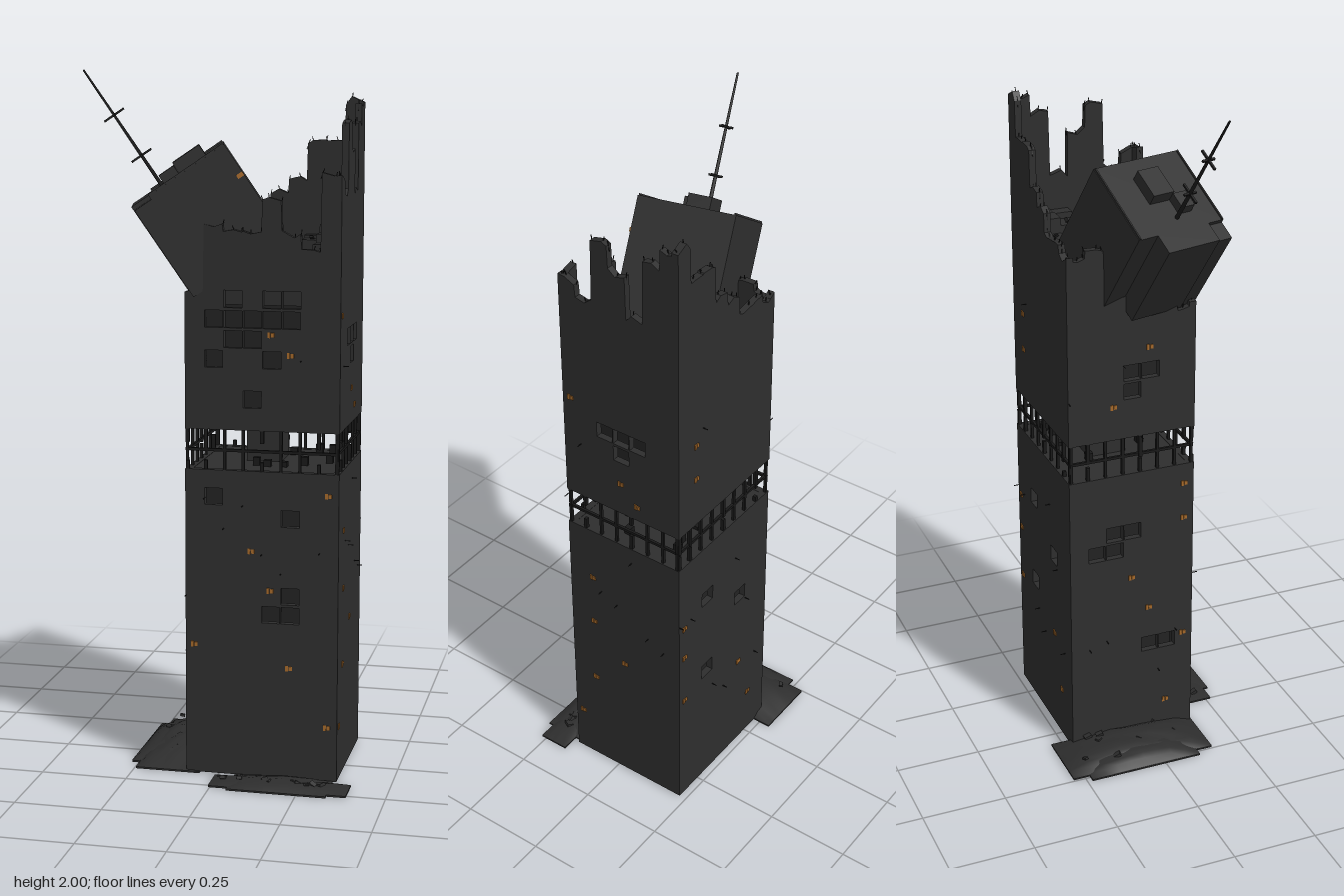
import * as THREE from 'three';

const mat = (name, color, double) => {
  const m = new THREE.MeshStandardMaterial({ color });
  m.name = name;
  if (double) m.side = THREE.DoubleSide;
  return m;
};

export function createModel() {
  const concrete = mat('dark concrete', 0x2e2e2e);
  const interior = mat('shadowed interior', 0x222222);
  const metal = mat('blackened steel', 0x191919);
  const rubbleMat = mat('rubble grey', 0x2d2d2d, true);
  const ember = mat('ember orange', 0xa5692a);

  const model = new THREE.Group();
  model.name = 'ruinedTower';
  let seed = 7;
  const rnd = (a = 0, b = 1) => {
    seed = (seed * 16807) % 2147483647;
    return a + (b - a) * seed / 2147483647;
  };
  // Box given by its low and high corners
  const box = (parent, name, m, x0, x1, y0, y1, z0, z1) => {
    const mesh = new THREE.Mesh(new THREE.BoxGeometry(x1 - x0, y1 - y0, z1 - z0), m);
    mesh.position.set((x0 + x1) / 2, (y0 + y1) / 2, (z0 + z1) / 2);
    mesh.name = name;
    parent.add(mesh);
    return mesh;
  };

  const X0 = -0.095, X1 = 0.345, Z0 = -0.23, Z1 = 0.155;
  const CX = (X0 + X1) / 2, CZ = (Z0 + Z1) / 2;
  const CELL = 0.055, ROW = 0.0559, LOW = 0.895, HIGH = 1.01;

  // One wall panel with punched windows; top holds the outline points
  const wall = (name, w, y0, top, windows) => {
    const h = w / 2, s = new THREE.Shape();
    s.moveTo(-h, y0);
    s.lineTo(h, y0);
    [...top].reverse().forEach(([u, y]) => s.lineTo(u - h, y));
    s.closePath();
    for (const [col, row, count] of windows) for (let c = col; c < col + count; c++) {
      const u = c * CELL - h + 0.0015, v = row * ROW + 0.012, hole = new THREE.Path();
      hole.moveTo(u, v);
      hole.lineTo(u, v + 0.048);
      hole.lineTo(u + 0.052, v + 0.048);
      hole.lineTo(u + 0.052, v);
      s.holes.push(hole);
    }
    const mesh = new THREE.Mesh(new THREE.ExtrudeGeometry(s, { depth: 0.02, bevelEnabled: false }), concrete);
    mesh.position.z = -0.02;
    mesh.name = name;
    return mesh;
  };

  // One side of the tower: heights is the broken top per cell, windows are runs [column, row, count]
  const addSide = (name, w, x, z, turn, heights, windows) => {
    const g = new THREE.Group();
    g.name = name;
    g.position.set(x, 0, z);
    g.rotation.y = turn * Math.PI / 2;
    const n = heights.length, d = w / n;
    const top = heights.flatMap((y, i) => [
      [i * d, y + rnd(-0.015, 0.01)],
      [(i + rnd(0.3, 0.7)) * d, y + rnd(-0.015, 0.02)],
      [(i + 0.95) * d + (i === n - 1 ? 0.05 * d : 0), y + rnd(-0.01, 0.01)],
    ]);
    g.add(wall('lowerWall', w, 0.004, [[0, LOW], [w, LOW]], windows.filter(r => r[1] < 16)));
    g.add(wall('upperWall', w, HIGH, top, windows.filter(r => r[1] > 17)));
    // Bare frame of the burnt-out storeys, with broken studs
    for (let i = 0; i <= n; i++) {
      const u = (i / n - 0.5) * (w - 0.01);
      if (i % 3 !== 1) box(g, 'framePost', metal, u - 0.004, u + 0.004, LOW, HIGH, -0.012, -0.004);
      else {
        box(g, 'hangingStud', metal, u - 0.005, u + 0.005, HIGH - rnd(0.03, 0.07), HIGH, -0.012, -0.002);
        box(g, 'brokenStud', metal, u - 0.005, u + 0.005, LOW, LOW + rnd(0.015, 0.05), -0.012, -0.002);
      }
    }
    box(g, 'frameRail', metal, -w / 2, w / 2, 0.947, 0.955, -0.012, -0.004);
    // Burning spots near the cell corners
    for (let i = 0; i < 9; i++) {
      const c = (Math.floor(rnd(0, n)) + 0.45) * d - w / 2;
      const y = (Math.floor(i * 2.6 + rnd(0, 2)) + 1.9) * ROW;
      if (y > LOW - 0.01 && y < HIGH + 0.01) continue;
      box(g, 'ember', ember, c - 0.009, c - 0.001, y - 0.008, y + 0.008, 0, 0.003);
      box(g, 'ember', ember, c + 0.001, c + 0.01, y - 0.006, y + 0.006, 0, 0.003);
    }
    // Reinforcing rods on the broken edge and out of the face
    top.forEach(([u, y], i) => {
      const rod = box(g, 'rod', metal, -0.001, 0.001, -0.01, 0.02, -0.001, 0.001);
      rod.position.set(Math.min(Math.max(u, 0.01), w - 0.01) - w / 2, y - 0.004, -0.01);
      rod.rotation.z = rnd(-0.4, 0.4);
      if (i % 3) return;
      const y2 = rnd(0.2, 1.35);
      box(g, 'wallRod', metal, u - w / 2, u - w / 2 + 0.002, y2, y2 + 0.002, -0.01, 0.015);
    });
    model.add(g);
  };
  addSide('frontSide', 0.44, CX, Z1, 0, [1.41, 1.58, 1.56, 1.56, 1.65, 1.56, 1.51, 1.72],
    [[2, 24, 1], [4, 24, 2], [1, 23, 5], [2, 22, 2], [1, 21, 1], [4, 21, 1], [3, 19, 1],
      [1, 14, 1], [5, 13, 1], [5, 9, 1], [4, 8, 2]]);
  addSide('rightSide', 0.383, X1, CZ, 1, [1.71, 1.67, 1.85, 1.79, 1.67, 1.85, 1.9],
    [[2, 22, 3], [3, 21, 1]]);
  addSide('backSide', 0.44, CX, Z0, 2, [1.91, 1.8, 1.8, 1.69, 1.65, 1.59, 1.6, 1.57],
    [[2, 12, 1], [5, 10, 1], [2, 7, 1]]);
  addSide('leftSide', 0.383, X0, CZ, 3, [1.56, 1.58, 1.48, 1.44, 1.42, 1.4, 1.38],
    [[3, 21, 2], [3, 20, 1], [2, 12, 2], [1, 11, 2], [4, 5, 2]]);

  // Floors, inner mass and lift core
  const slab = (name, m, inset, y0, y1) =>
    box(model, name, m, X0 + inset, X1 - inset, y0, y1, Z0 + inset, Z1 - inset);
  slab('baseFloor', concrete, 0.005, 0.002, 0.012);
  slab('lowerRoof', concrete, 0.005, LOW - 0.012, LOW - 0.001);
  slab('upperFloor', concrete, 0.005, HIGH + 0.001, HIGH + 0.012);
  slab('lowerInside', interior, 0.05, 0.02, LOW - 0.02);
  slab('upperInside', interior, 0.05, HIGH + 0.01, 1.36);
  box(model, 'liftCore', concrete, 0.05, 0.15, LOW, HIGH, -0.115, 0);
  for (let i = 0; i < 10; i++) {
    const x = rnd(X0 + 0.03, X1 - 0.05), z = rnd(Z0 + 0.03, Z1 - 0.04);
    box(model, 'floorDebris', metal, x, x + 0.02, LOW, LOW + rnd(0.01, 0.03), z, z + 0.02);
  }

  // Collapsed rooms inside the crown, higher towards the back right corner
  for (let i = 0; i < 8; i++) for (let j = 0; j < 7; j++) {
    const x = X0 + i * CELL, z = Z0 + j * CELL;
    const y = 1.36 + 0.03 * i * (1 - j / 10) + rnd(0, 0.05);
    box(model, 'brokenRoom', concrete, Math.max(x, X0 + 0.02), Math.min(x + CELL, X1 - 0.02), 1.36, y,
      Math.max(z, Z0 + 0.02), Math.min(z + CELL, Z1 - 0.02));
    if ((i + j) % 2 === 0 && i > 3) {
      const c = box(model, 'brokenPiece', metal, -0.009, 0.009, -0.003, 0.003, -0.005, 0.005);
      c.position.set(x + CELL / 2, y + 0.004, z + CELL / 2);
      c.rotation.set(rnd(-0.5, 0.5), rnd(0, 3), rnd(-0.5, 0.5));
    }
  }

  // Toppled top block; its origin is the middle of its upper ridge
  const block = new THREE.Group();
  block.name = 'toppledBlock';
  block.position.set(-0.018, 1.8, 0.005);
  block.rotation.set(0, 0.235, 0.595, 'YZX');
  box(block, 'blockBody', concrete, -0.25, 0, -0.32, 0, -0.14, 0.14);
  box(block, 'blockEnd', concrete, -0.31, -0.25, -0.3, 0, -0.078, 0.09);
  box(block, 'blockEndStep', concrete, -0.305, -0.25, -0.3, -0.012, 0.09, 0.14);
  box(block, 'roofPlant', concrete, -0.15, -0.06, 0, 0.035, -0.045, 0.022);
  box(block, 'roofVent', concrete, -0.2, -0.15, 0, 0.028, 0.02, 0.062);
  box(block, 'ember', ember, -0.02, 0, -0.1, -0.088, 0.14, 0.143);
  for (const z of [-0.138, 0.134]) box(block, 'parapet', concrete, -0.25, -0.002, 0, 0.005, z, z + 0.004);
  const mast = new THREE.Mesh(new THREE.CylinderGeometry(0.003, 0.006, 0.385, 6), metal);
  mast.name = 'mast';
  mast.position.set(-0.21, 0.192, 0.008);
  block.add(mast);
  for (const y of [0.1, 0.235]) {
    box(block, 'mastBar', metal, -0.243, -0.177, y - 0.003, y + 0.003, 0.005, 0.011);
    box(block, 'mastBar', metal, -0.213, -0.207, y - 0.003, y + 0.003, -0.012, 0.028);
  }
  model.add(block);

  // Rubble: low mounds with uneven tops and loose chunks
  const mound = (name, x0, x1, z0, z1, h) => {
    const w = x1 - x0, d = z1 - z0;
    const geo = new THREE.PlaneGeometry(w, d, 10, 8).rotateX(-Math.PI / 2);
    const p = geo.attributes.position;
    for (let i = 0; i < p.count; i++) {
      const bulge = Math.cos(p.getX(i) / w * Math.PI) * Math.cos(p.getZ(i) / d * Math.PI);
      p.setY(i, 0.006 + h * Math.sqrt(Math.max(bulge, 0)) * rnd(0.8, 1));
    }
    geo.computeVertexNormals();
    const m = new THREE.Mesh(geo, rubbleMat);
    m.name = name;
    m.position.set((x0 + x1) / 2, 0, (z0 + z1) / 2);
    model.add(m);
    box(model, name + 'Base', rubbleMat, x0, x1, 0, 0.005, z0, z1);
    for (let i = 0; i < 6; i++) {
      const s = rnd(0.012, 0.026);
      const c = box(model, 'chunk', rubbleMat, -s / 2, s / 2, -s / 4, s / 4, -s / 2.5, s / 2.5);
      c.position.set(rnd(x0 + 0.03, x1 - 0.03), h * 0.75 + 0.004, rnd(z0 + 0.03, z1 - 0.03));
      c.rotation.set(rnd(-0.5, 0.5), rnd(0, 3), rnd(-0.5, 0.5));
    }
  };
  mound('sideRubble', -0.27, X0, -0.235, 0.11, 0.038);
  mound('sideRubbleLong', -0.245, -0.055, -0.285, 0.16, 0.045);
  mound('frontRubble', -0.005, 0.39, 0.175, 0.265, 0.016);
  mound('frontRubbleNear', 0.05, 0.335, 0.157, 0.28, 0.02);

  return model;
}
